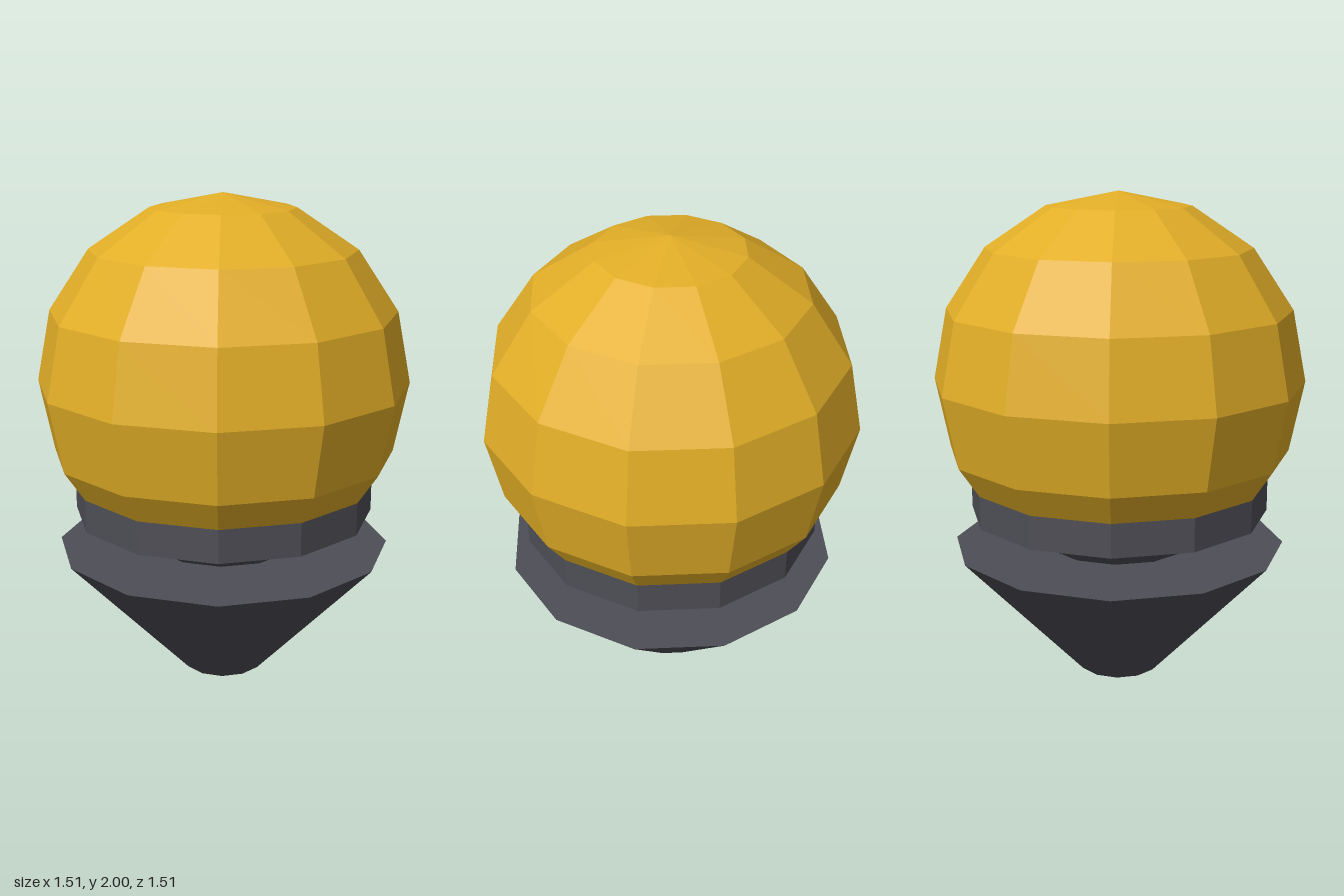
import * as THREE from 'three';

const SIDES = 12;
const RADIUS = 0.757;
const CENTRE_Y = 2 - RADIUS;

export function createModel() {
  const group = new THREE.Group();

  const gold = new THREE.MeshStandardMaterial({ color: 0xe2ae27, flatShading: true });
  gold.name = 'gold';
  const darkGrey = new THREE.MeshStandardMaterial({ color: 0x4e4e56, flatShading: true });
  darkGrey.name = 'dark grey';

  function add(name, geometry, material, y) {
    const mesh = new THREE.Mesh(geometry, material);
    mesh.name = name;
    mesh.position.y = y;
    group.add(mesh);
  }

  // A band of the faceted ball, counted in rows from the top (8 rows in all)
  const ballRows = (first, count) => new THREE.SphereGeometry(
    RADIUS, SIDES, count, 0, Math.PI * 2, first * Math.PI / 8, count * Math.PI / 8);

  // A closed ring or cone standing between two heights
  function addDrum(name, topRadius, bottomRadius, bottomY, topY) {
    const geometry = new THREE.CylinderGeometry(topRadius, bottomRadius, topY - bottomY, SIDES);
    add(name, geometry, darkGrey, (topY + bottomY) / 2);
  }

  // Golden globe and its dark underside, meeting inside the collar
  add('globe', ballRows(0, 6), gold, CENTRE_Y);
  add('neck', ballRows(6, 2), darkGrey, CENTRE_Y);

  // Collar around the globe and tapered base below
  addDrum('collar', 0.617, 0.617, 0.695, 0.832);
  addDrum('base', 0.687, 0.17, 0, 0.555);

  return group;
}
